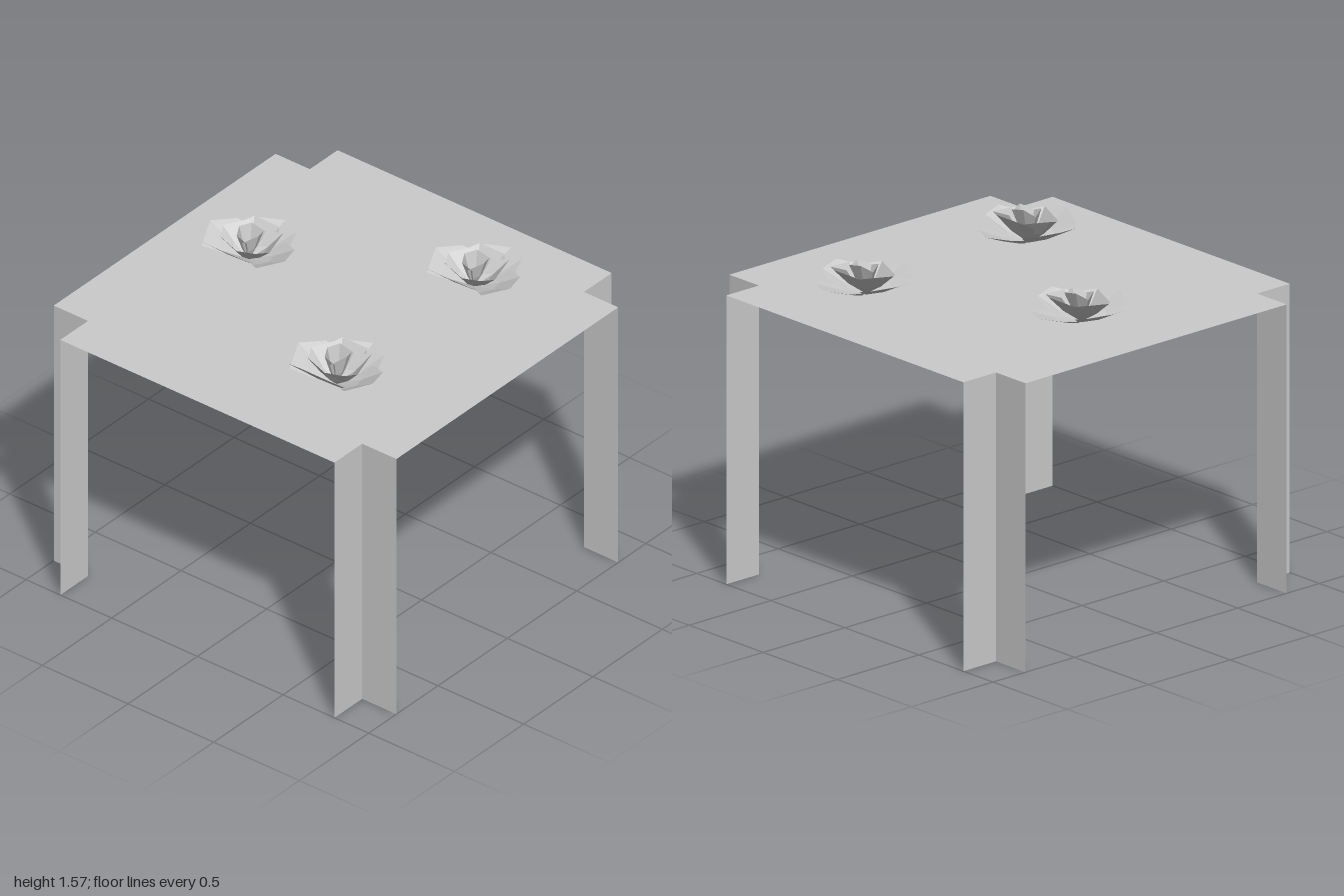
import * as THREE from 'three';

const material = new THREE.MeshStandardMaterial({
  color: 0xcccccc, flatShading: true, side: THREE.DoubleSide,
});
const TOP = 1.39, OUT = 1, IN = 0.8;

function addMesh(parent, name, geometry) {
  const mesh = new THREE.Mesh(geometry, material);
  mesh.name = name;
  parent.add(mesh);
  return mesh;
}

// Cupped petal: a fan from the base to a middle row, then a strip up to the rim.
// Rim points are [x, y, z] measured from the flower's base.
function petalGeometry(rim) {
  const positions = [];
  const mid = rim.map(([x, y, z]) => [x * 0.55, y * 0.45, z * 0.55]);
  for (let i = 0; i < rim.length - 1; i++) {
    const [a, b, c, d] = [mid[i], mid[i + 1], rim[i], rim[i + 1]];
    positions.push(0, 0, 0, ...b, ...a, ...a, ...b, ...d, ...a, ...d, ...c);
  }
  const geometry = new THREE.BufferGeometry();
  geometry.setAttribute('position', new THREE.Float32BufferAttribute(positions, 3));
  geometry.computeVertexNormals();
  return geometry;
}

const petals = {
  // wide, open outer petals
  outerBackPetal: [[-0.12, 0.06, -0.13], [-0.11, 0.075, -0.21], [0, 0.075, -0.265], [0.1, 0.075, -0.22], [0.135, 0.06, -0.13]],
  outerRightPetal: [[0.11, 0.07, -0.13], [0.2, 0.09, -0.085], [0.235, 0.1, 0.03], [0.14, 0.07, 0.12]],
  outerFrontPetal: [[0.14, 0.08, 0.11], [0.09, 0.1, 0.14], [-0.06, 0.13, 0.18], [-0.175, 0.09, 0.13]],
  outerLeftPetal: [[-0.17, 0.07, 0.13], [-0.24, 0.1, -0.02], [-0.17, 0.085, -0.13], [-0.11, 0.07, -0.14]],
  // steeper middle petals
  middleBackPetal: [[-0.13, 0.1, -0.08], [-0.08, 0.13, -0.14], [0.065, 0.13, -0.14], [0.1, 0.1, -0.09]],
  middleRightPetal: [[0.045, 0.12, -0.08], [0.11, 0.13, -0.12], [0.145, 0.11, 0.03], [0.09, 0.1, 0.07]],
  middleFrontPetal: [[0.11, 0.1, 0.06], [0.03, 0.12, 0.125], [-0.13, 0.11, 0.06]],
  middleLeftPetal: [[-0.12, 0.1, 0.06], [-0.15, 0.12, 0], [-0.09, 0.12, -0.12]],
  // closed bud
  budBackPetal: [[-0.08, 0.13, -0.03], [-0.03, 0.155, -0.06], [0.05, 0.14, -0.06]],
  budRightPetal: [[0.04, 0.14, -0.06], [0.06, 0.15, 0], [0.01, 0.12, 0.06]],
  budFrontPetal: [[0.03, 0.12, 0.05], [-0.03, 0.14, 0.05], [-0.08, 0.13, -0.03]],
};

function createFlower(x, z, heightScale) {
  const flower = new THREE.Group();
  flower.name = 'flower';
  for (const [name, rim] of Object.entries(petals)) addMesh(flower, name, petalGeometry(rim));
  flower.position.set(x, TOP + 0.003, z);
  flower.scale.y = heightScale;
  return flower;
}

export function createModel() {
  const table = new THREE.Group();
  table.name = 'table';

  // Thin sheet top with a square notch at each corner
  const outline = [];
  for (const [sx, sz] of [[1, 1], [-1, 1], [-1, -1], [1, -1]]) {
    const corner = [[OUT, IN], [IN, IN], [IN, OUT]].map(([x, z]) => new THREE.Vector2(sx * x, sz * z));
    outline.push(...(sx * sz > 0 ? corner : corner.reverse()));
  }
  addMesh(table, 'tabletop', new THREE.ShapeGeometry(new THREE.Shape(outline)).rotateX(-Math.PI / 2).translate(0, TOP, 0));

  // Each leg is two sheets folded down along the sides of its notch
  const centre = (OUT + IN) / 2;
  for (const sx of [-1, 1]) {
    for (const sz of [-1, 1]) {
      const leg = new THREE.Group();
      leg.name = `${sz > 0 ? 'front' : 'back'}${sx > 0 ? 'Left' : 'Right'}Leg`;
      const across = addMesh(leg, 'legSheetAcross', new THREE.PlaneGeometry(OUT - IN, TOP));
      across.position.set(sx * centre, TOP / 2, sz * IN);
      const along = addMesh(leg, 'legSheetAlong', new THREE.PlaneGeometry(OUT - IN, TOP));
      along.position.set(sx * IN, TOP / 2, sz * centre);
      along.rotation.y = Math.PI / 2;
      table.add(leg);
    }
  }

  // Flowers resting on the top
  table.add(
    createFlower(-0.55, -0.05, 1),
    createFlower(0.385, -0.52, 1),
    createFlower(0.405, 0.495, 1.15),
  );
  return table;
}
